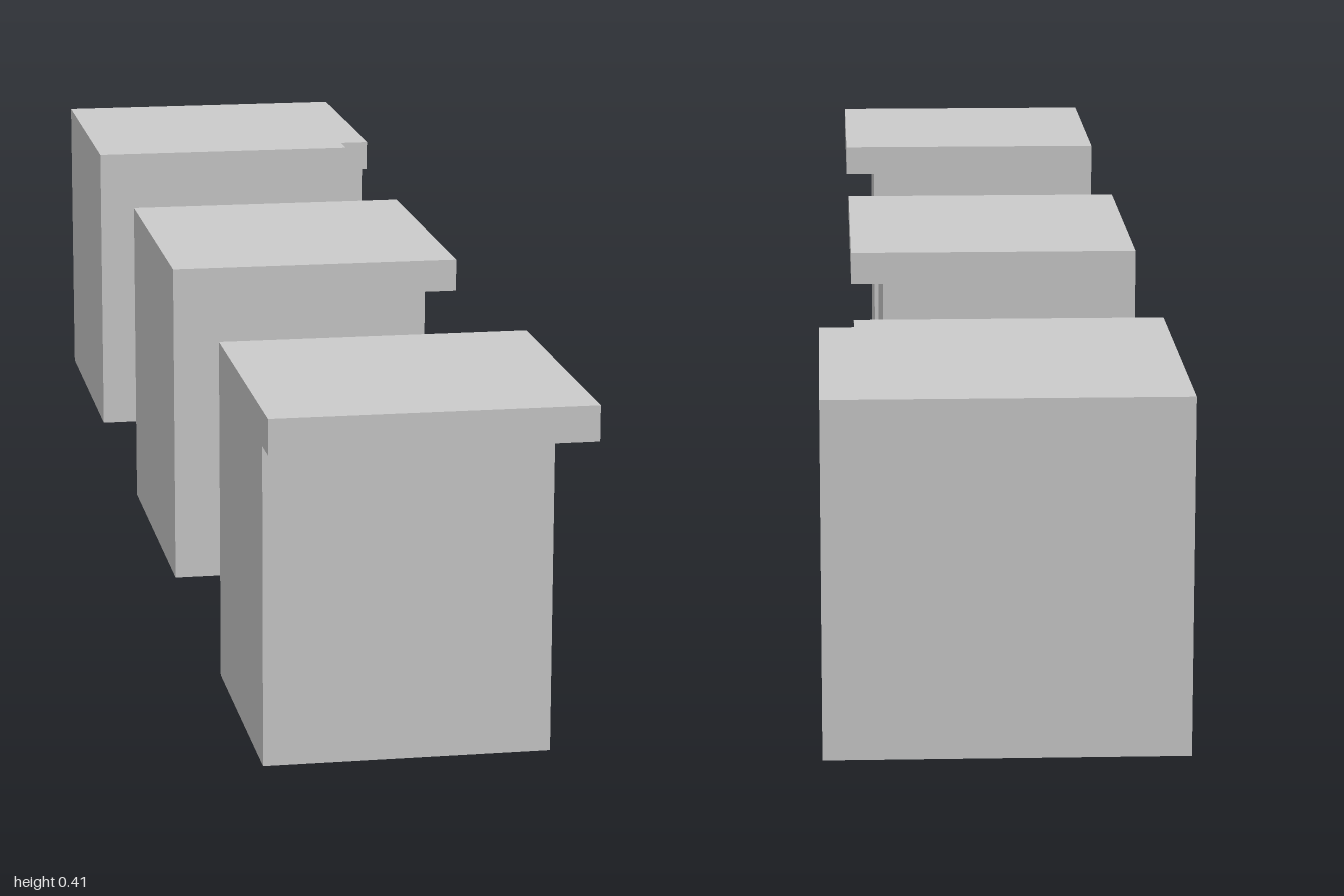
import * as THREE from 'three';

const U = 2 / 49; // grid unit: the whole set is 49 units long
const SIZE = 10, CAP = 1; // block height and cap thickness, in units

const material = new THREE.MeshStandardMaterial({ color: 0xcccccc, flatShading: true });

// Upright prism from a plan outline of [x, z] points (units from the back left corner)
function prism(name, outline, y0, y1) {
  const shape = new THREE.Shape(outline.map(([x, z]) => new THREE.Vector2(x * U, -z * U)));
  const geometry = new THREE.ExtrudeGeometry(shape, { depth: (y1 - y0) * U, bevelEnabled: false });
  geometry.rotateX(-Math.PI / 2).translate(0, y0 * U, 0);
  const mesh = new THREE.Mesh(geometry, material);
  mesh.name = name;
  return mesh;
}

// Plan outlines, inset by n units on the exposed sides
const outerCorner = n => [[0, 0], [SIZE - n, 0], [SIZE - n, SIZE - n], [0, SIZE - n]];
const straight = n => [[0, 0], [SIZE - n, 0], [SIZE - n, SIZE], [0, SIZE]];
const innerCorner = n => [[0, 0], [SIZE, 0], [SIZE, SIZE - n], [SIZE - n, SIZE - n], [SIZE - n, SIZE], [0, SIZE]];

// A block: the body is set back one unit further than its overhanging cap
function block(name, plan, zStart) {
  const group = new THREE.Group();
  group.name = name;
  group.add(prism('body', plan(2), 0, SIZE - CAP), prism('cap', plan(1), SIZE - CAP, SIZE));
  group.position.set(-SIZE / 2 * U, 0, -1 + zStart * U);
  return group;
}

export function createModel() {
  const model = new THREE.Group();
  model.name = 'ledgeBlocks';
  model.add(
    block('innerCornerBlock', innerCorner, 0),
    block('straightBlock', straight, 20),
    block('outerCornerBlock', outerCorner, 40)
  );
  return model;
}
